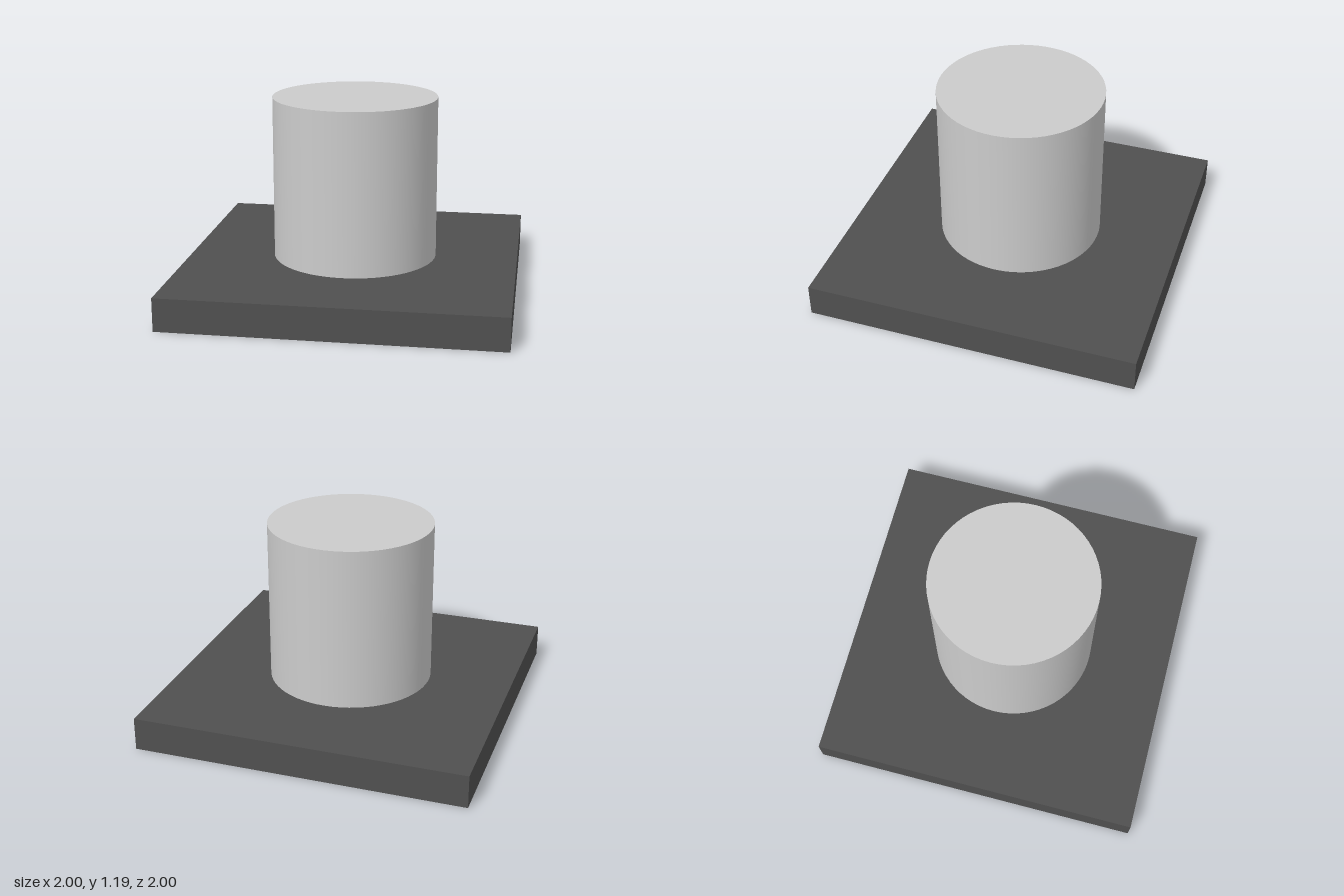
import * as THREE from 'three';

export function createModel() {
  const group = new THREE.Group();

  const add = (name, geometry, color, y) => {
    const mesh = new THREE.Mesh(geometry, new THREE.MeshStandardMaterial({ color }));
    mesh.name = name;
    mesh.position.y = y;
    group.add(mesh);
  };

  // Square dark plate on the ground
  add('basePlate', new THREE.BoxGeometry(2, 0.2, 2), 0x505050, 0.1);

  // Round post, sunk slightly into the plate
  add('post', new THREE.CylinderGeometry(0.5, 0.5, 1, 64), 0xcccccc, 0.69);

  return group;
}
